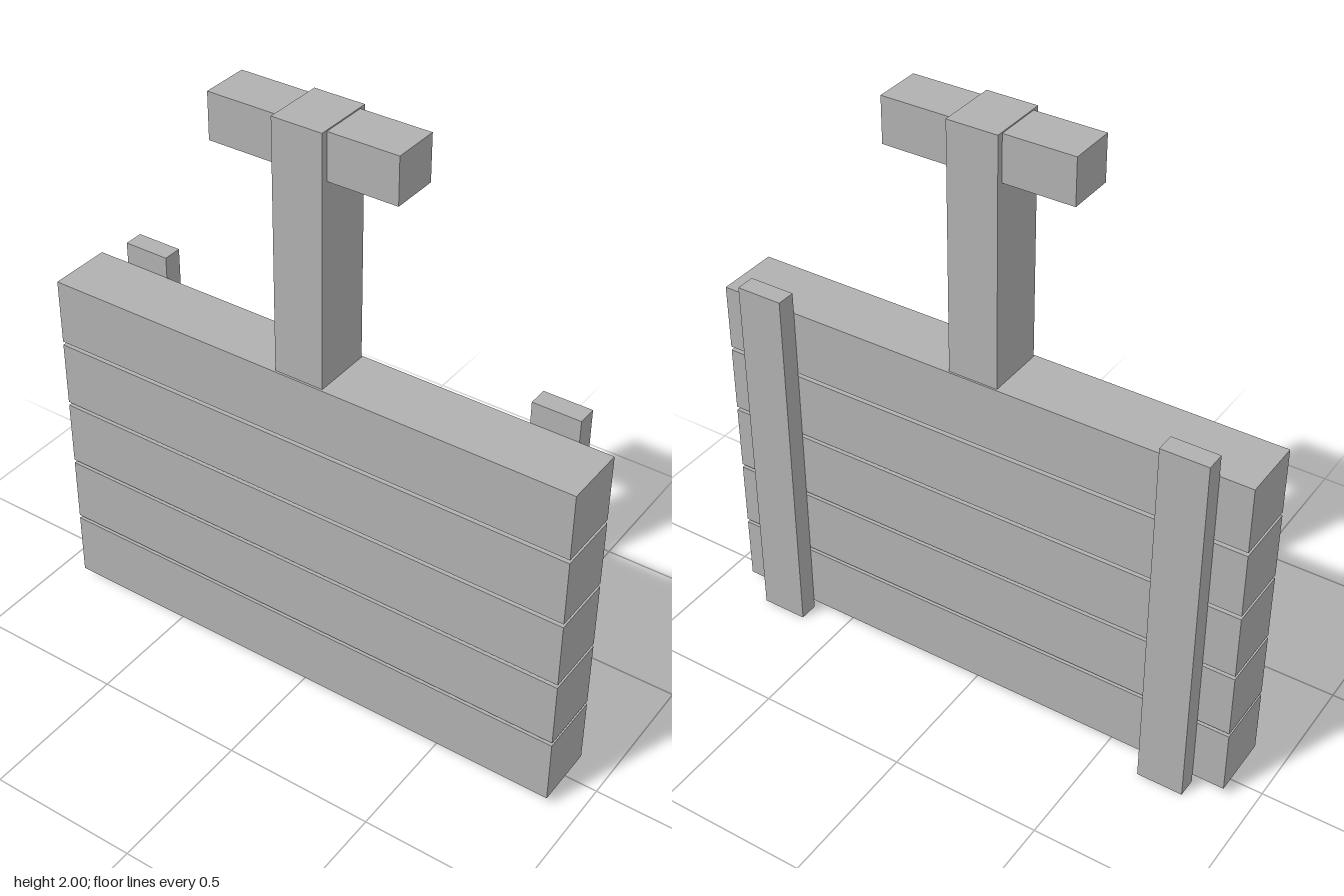
import * as THREE from 'three';

export function createModel() {
  const group = new THREE.Group();
  const grey = new THREE.MeshStandardMaterial({ color: 0xb0b0b0 });
  grey.name = 'plain grey';

  // Box given by its lower and upper corners
  const addBox = (name, [x0, y0, z0], [x1, y1, z1]) => {
    const mesh = new THREE.Mesh(new THREE.BoxGeometry(x1 - x0, y1 - y0, z1 - z0), grey);
    mesh.position.set((x0 + x1) / 2, (y0 + y1) / 2, (z0 + z1) / 2);
    mesh.name = name;
    group.add(mesh);
  };

  // Five stacked planks with narrow gaps
  for (let i = 0; i < 5; i++) {
    const y = 0.031 + i * 0.2335;
    addBox(`plank${i + 1}`, [-0.904, y, -0.073], [0.904, y + 0.221, 0.137]);
  }

  // Upright battens across the back
  addBox('rightBatten', [-0.798, 0, -0.137], [-0.644, 1.257, -0.073]);
  addBox('leftBatten', [0.641, 0, -0.137], [0.796, 1.257, -0.073]);

  // T-shaped handle
  addBox('handlePost', [-0.082, 1.186, -0.067], [0.082, 2, 0.13]);
  addBox('handleCrossbar', [-0.31, 1.848, -0.046], [0.308, 1.996, 0.108]);

  return group;
}
